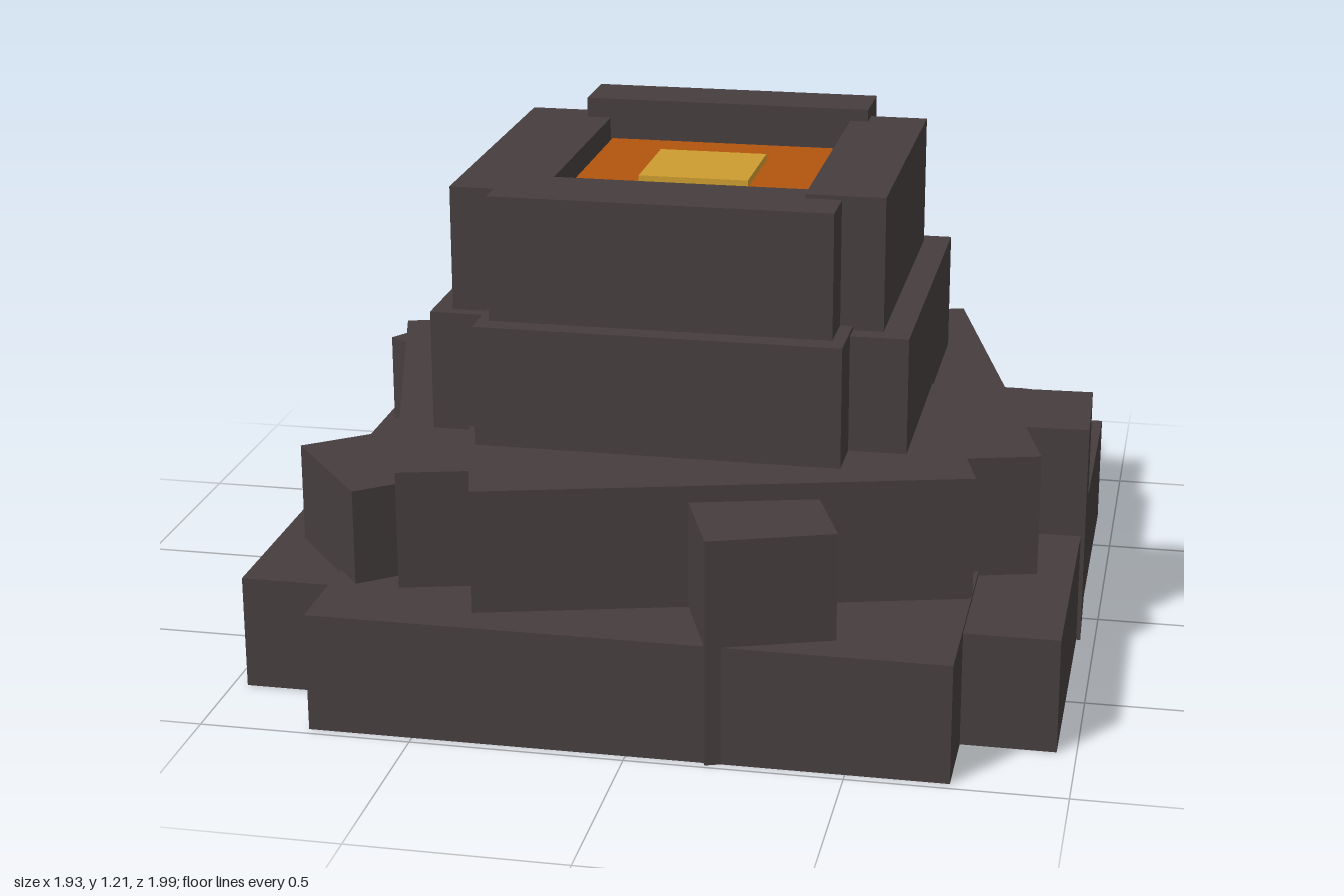
import * as THREE from 'three';

export function createModel() {
  const model = new THREE.Group();
  const rock = new THREE.MeshStandardMaterial({ color: 0x463e3e });
  rock.name = 'dark rock';
  const lava = new THREE.MeshStandardMaterial({ color: 0xb2540e });
  lava.name = 'orange lava';
  const glow = new THREE.MeshStandardMaterial({ color: 0xcc9c30 });
  glow.name = 'yellow glow';

  // Block by centre, footprint, height range and turn about y in degrees
  function block(name, mat, x, z, w, d, y0, y1, turn = 0) {
    const mesh = new THREE.Mesh(new THREE.BoxGeometry(w, y1 - y0, d), mat);
    mesh.name = name;
    mesh.position.set(x, (y0 + y1) / 2, z);
    mesh.rotation.y = THREE.MathUtils.degToRad(turn);
    model.add(mesh);
  }

  // Square-on block by its extents in x and z
  function slab(name, mat, x0, x1, z0, z1, y0, y1) {
    block(name, mat, (x0 + x1) / 2, (z0 + z1) / 2, x1 - x0, z1 - z0, y0, y1);
  }

  // Base: two crossed slabs
  slab('baseLong', rock, -0.745, 0.735, -0.925, 0.978, 0, 0.285);
  slab('baseWide', rock, -0.965, 0.955, -0.72, 0.775, 0, 0.275);

  // Second tier: crossed slabs turned a little
  block('lowerTierLong', rock, -0.01, 0.028, 1.15, 1.485, 0.25, 0.58, 15);
  block('lowerTierWide', rock, -0.005, 0.028, 1.5, 1.163, 0.25, 0.57, 15);

  // Third tier: crossed slabs
  slab('upperTierLong', rock, -0.44, 0.425, -0.535, 0.592, 0.55, 0.87);
  slab('upperTierWide', rock, -0.577, 0.562, -0.41, 0.467, 0.55, 0.86);

  // Crater rim: four walls of uneven height
  slab('rimRight', rock, -0.53, -0.31, -0.38, 0.435, 0.85, 1.16);
  slab('rimLeft', rock, 0.31, 0.497, -0.365, 0.42, 0.85, 1.18);
  slab('rimFront', rock, -0.413, 0.395, 0.34, 0.54, 0.85, 1.17);
  slab('rimBack', rock, -0.37, 0.355, -0.465, -0.305, 0.85, 1.21);

  // Lava pool and its hot centre
  slab('lavaPool', lava, -0.295, 0.282, -0.26, 0.318, 0.86, 1.118);
  slab('lavaCentre', glow, -0.137, 0.13, -0.105, 0.158, 1.1, 1.135);

  // Boulders around the foot
  const boulders = [
    // x, z, width, depth, top, turn
    [0.224, -0.78, 0.38, 0.35, 0.5, -16],
    [0.281, 0.818, 0.297, 0.26, 0.54, 19.6],
    [0.82, -0.002, 0.28, 0.285, 0.55, 2],
    [-0.717, -0.453, 0.358, 0.3, 0.505, 57],
    [-0.674, 0.55, 0.349, 0.3, 0.515, -52],
  ];
  boulders.forEach(([x, z, w, d, top, turn], i) =>
    block(`boulder${i + 1}`, rock, x, z, w, d, 0, top, turn));

  return model;
}
